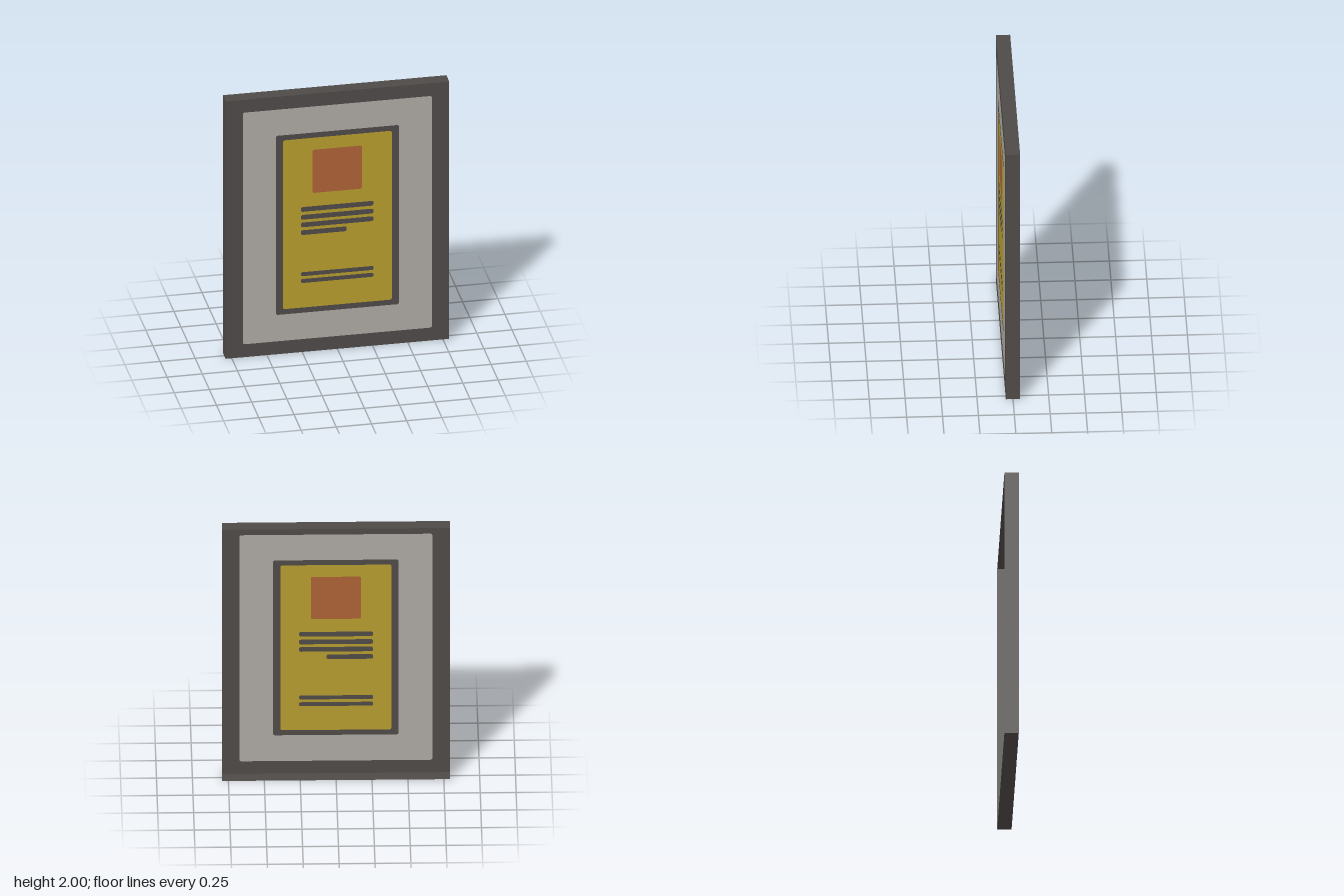
import * as THREE from 'three';

const W = 0.794, H = 2, D = 0.05; // half width, height, half depth

// Rounded rectangle outline
function roundRect(x0, x1, y0, y1, r) {
  const s = new THREE.Shape();
  if (r === 0) {
    s.moveTo(x0, y0).lineTo(x1, y0).lineTo(x1, y1).lineTo(x0, y1).closePath();
    return s;
  }
  s.absarc(x1 - r, y0 + r, r, -Math.PI / 2, 0);
  s.absarc(x1 - r, y1 - r, r, 0, Math.PI / 2);
  s.absarc(x0 + r, y1 - r, r, Math.PI / 2, Math.PI);
  s.absarc(x0 + r, y0 + r, r, Math.PI, Math.PI * 1.5);
  s.closePath();
  return s;
}

export function createModel() {
  const model = new THREE.Group();
  model.name = 'framedNotice';

  const material = (name, color) => {
    const m = new THREE.MeshStandardMaterial({ color, side: THREE.DoubleSide });
    m.name = name;
    return m;
  };
  const charcoal = material('charcoal', 0x4e4a48);
  const grey = material('warmGrey', 0xaca8a2);
  const yellow = material('mustardYellow', 0xb69c2e);
  const orange = material('rustOrange', 0xac6136);

  // Flat sheet in the front plane, cut out where other colours sit; it shows from both sides
  const sheet = (name, outline, cutouts, mat) => {
    const shape = outline.clone();
    shape.holes = cutouts;
    const mesh = new THREE.Mesh(new THREE.ShapeGeometry(shape, 5), mat);
    mesh.name = name;
    mesh.position.z = D;
    model.add(mesh);
  };

  // Outlines, from the outside in
  const frame = roundRect(-W, W, 0, H, 0);
  const mount = roundRect(-0.672, 0.672, 0.10, 1.90, 0.015);
  const border = roundRect(-0.437, 0.437, 0.305, 1.697, 0.015);
  const paper = roundRect(-0.387, 0.387, 0.345, 1.657, 0.015);
  const picture = roundRect(-0.176, 0.174, 1.228, 1.563, 0.012);

  // Text lines: centre height, right end, thickness
  const lines = [
    [1.107, 0.257, 0.037], [1.046, 0.257, 0.037], [0.987, 0.257, 0.037], [0.927, 0.066, 0.037],
    [0.604, 0.257, 0.031], [0.551, 0.257, 0.031],
  ].map(([y, right, t]) => roundRect(-0.26, right, y - t / 2, y + t / 2, t * 0.42));

  sheet('frameFront', frame, [mount], charcoal);
  sheet('mount', mount, [border], grey);
  sheet('paperBorder', border, [paper], charcoal);
  sheet('paper', paper, [picture, ...lines], yellow);
  sheet('picture', picture, [], orange);
  lines.forEach((line, i) => sheet(`textLine${i + 1}`, line, [], charcoal));

  // Thin side walls; the back stays open
  for (const side of [-1, 1]) {
    const wall = new THREE.Mesh(new THREE.PlaneGeometry(2 * D, H), charcoal);
    wall.name = side > 0 ? 'leftWall' : 'rightWall';
    wall.rotation.y = side * Math.PI / 2;
    wall.position.set(side * W, H / 2, 0);
    model.add(wall);

    const rail = new THREE.Mesh(new THREE.PlaneGeometry(2 * W, 2 * D), charcoal);
    rail.name = side > 0 ? 'topWall' : 'bottomWall';
    rail.rotation.x = -side * Math.PI / 2;
    rail.position.y = side > 0 ? H : 0;
    model.add(rail);
  }
  return model;
}
